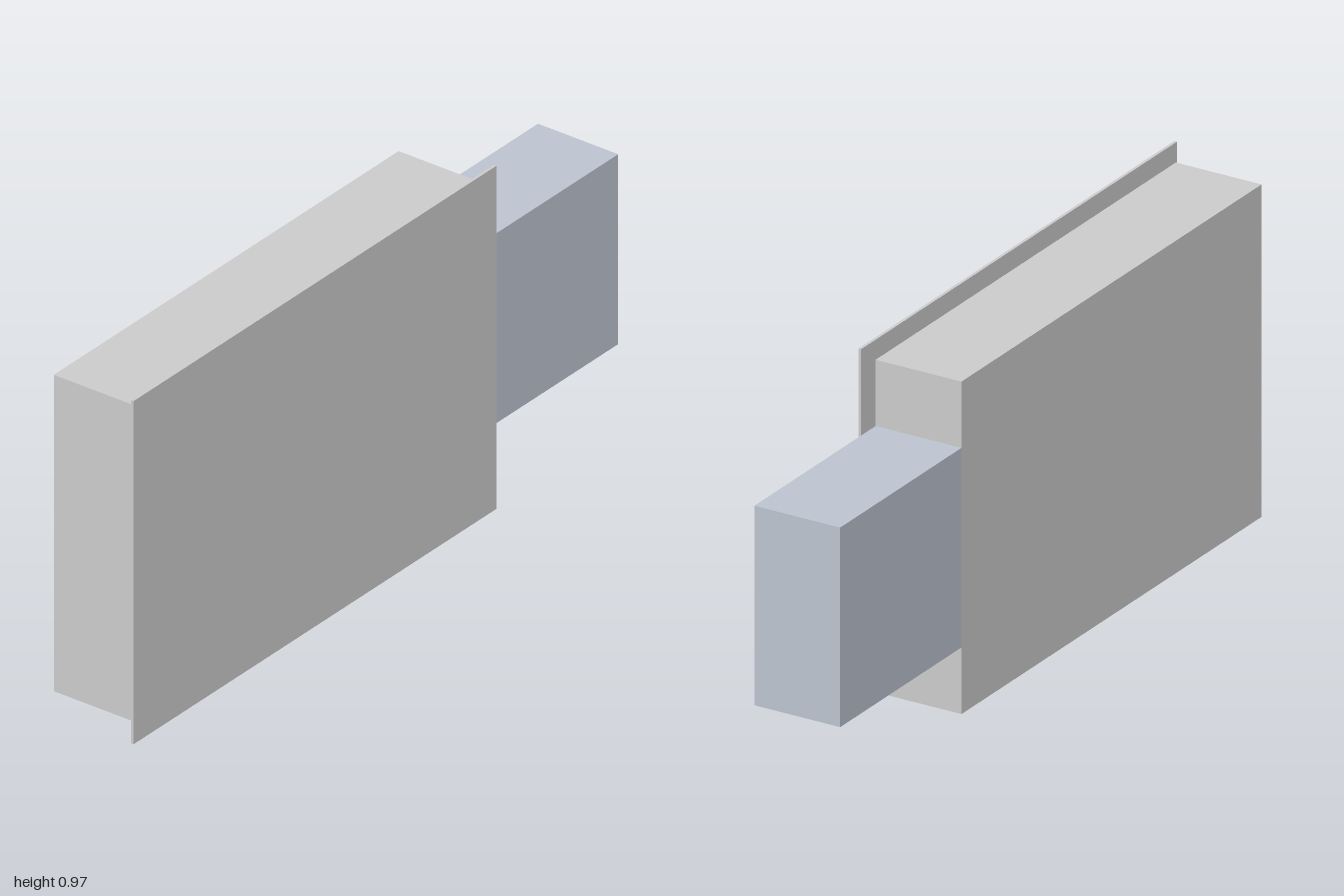
import * as THREE from 'three';

// Box spanning two opposite corners
function block(name, min, max, color) {
  const size = max.map((v, i) => v - min[i]);
  const mesh = new THREE.Mesh(
    new THREE.BoxGeometry(...size),
    new THREE.MeshStandardMaterial({ color })
  );
  mesh.name = name;
  mesh.position.set(...max.map((v, i) => (v + min[i]) / 2));
  return mesh;
}

export function createModel() {
  const model = new THREE.Group();
  model.name = 'panelWithSideBlock';

  // Thin cover panel floating just ahead of the body
  model.add(block('frontPanel', [-1, 0, 0.13], [0.472, 0.974, 0.138], 0xcccccc));

  // Main slab
  model.add(block('body', [-0.963, 0.038, -0.138], [0.435, 0.936, 0.111], 0xcccccc));

  // Smaller bluish block on the left end, flush with the slab front and back
  model.add(block('sideBlock', [0.435, 0.218, -0.138], [1, 0.757, 0.111], 0xbcc4d0));

  return model;
}
